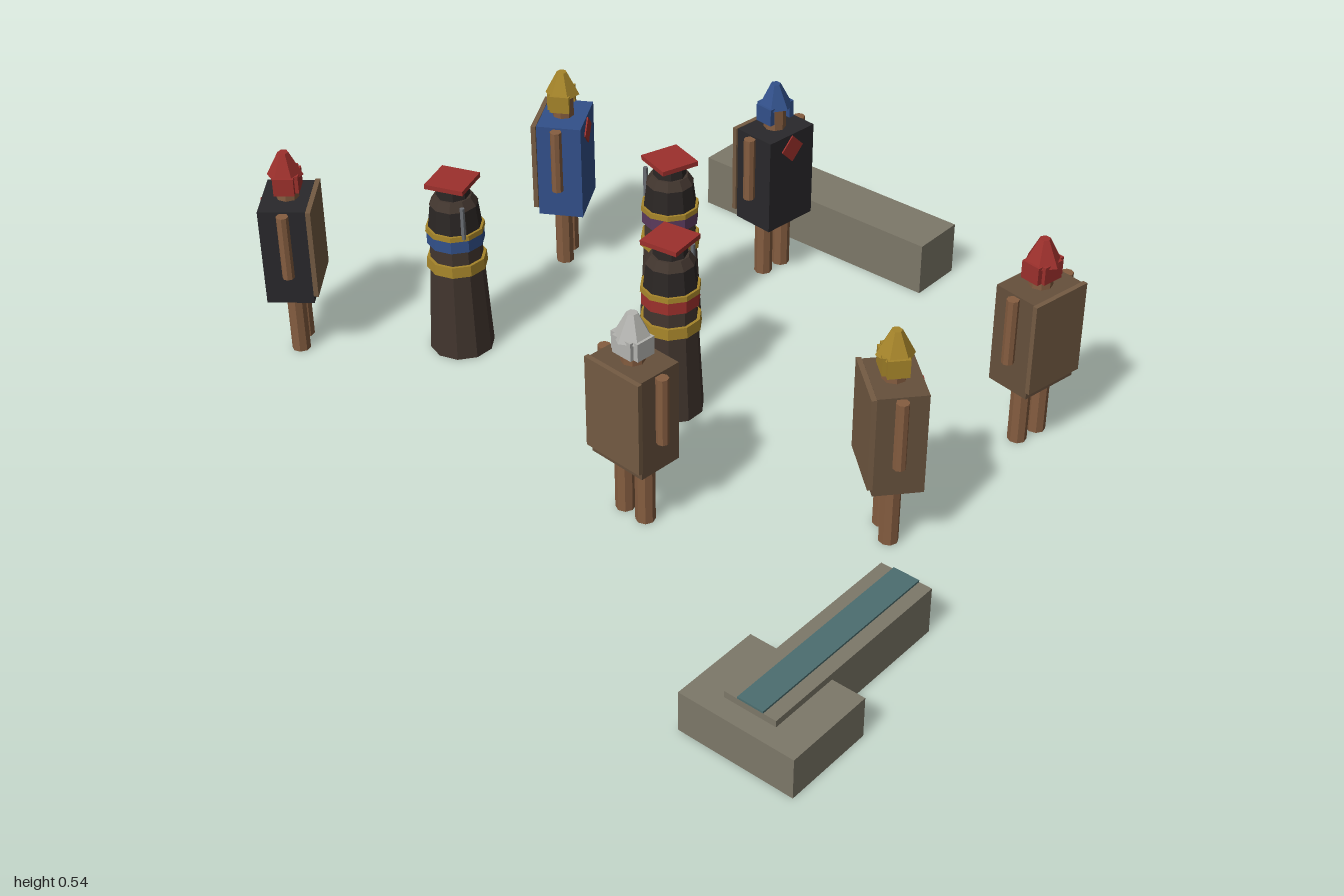
import * as THREE from 'three';

const COL = {
  stone: 0x7d7869, water: 0x4c6e70, board: 0x745b43, brown: 0x66503c, black: 0x29282b,
  blue: 0x32508a, red: 0x9c302c, gold: 0xa5842a, silver: 0xb4b4b0, skin: 0x855d40,
  robe: 0x41352e, dark: 0x2b2624, purple: 0x5a3a5c, white: 0xd0ccc4, steel: 0x6a6e74,
};
const mats = {};
const mat = (c) => (mats[c] ??= new THREE.MeshStandardMaterial({ color: COL[c], flatShading: true }));

function add(parent, name, geo, color, x, y, z) {
  const m = new THREE.Mesh(geo, mat(color));
  m.name = name;
  m.position.set(x, y, z);
  parent.add(m);
  return m;
}
const box = (w, h, d) => new THREE.BoxGeometry(w, h, d);
const cyl = (rt, rb, h, n) => new THREE.CylinderGeometry(rt, rb, h, n);

// Guard wearing a block tunic, facing local +z
function guard(tunic, cap, checker) {
  const g = new THREE.Group();
  g.name = 'guard';
  add(g, 'tunic', box(0.155, 0.255, 0.115), tunic, 0, 0.287, 0.004);
  add(g, 'backBoard', box(0.165, 0.235, 0.012), 'board', 0, 0.298, -0.06);
  for (const s of [-1, 1]) {
    add(g, 'leg', cyl(0.023, 0.023, 0.17, 8), 'skin', s * 0.032, 0.085, 0);
    add(g, 'arm', cyl(0.015, 0.015, 0.17, 8), 'skin', s * 0.089, 0.325, 0);
    add(g, 'cheekGuard', box(0.014, 0.045, 0.05), cap, s * 0.034, 0.46, 0);
  }
  add(g, 'head', cyl(0.028, 0.028, 0.08, 8), 'skin', 0, 0.445, 0);
  add(g, 'neckGuard', box(0.056, 0.045, 0.012), cap, 0, 0.46, -0.028);
  add(g, 'helmet', cyl(0.013, 0.044, 0.06, 6), cap, 0, 0.505, 0);
  // Chest emblem
  add(g, 'diamond', box(0.052, 0.052, 0.004), 'red', 0, 0.375, 0.063).rotation.z = Math.PI / 4;
  if (checker) {
    for (const i of [0, 1]) for (const j of [0, 1]) {
      add(g, 'checkerSquare', box(0.03, 0.03, 0.004), (i + j) % 2 ? 'white' : 'red',
        (i - 0.5) * 0.03, 0.24 + (j - 0.5) * 0.03, 0.063);
    }
  }
  return g;
}

// Robed figure with a square flat hat; the staff sits at local offset (sx, sz)
function robed(band, hatTurn, sx, sz) {
  const g = new THREE.Group();
  g.name = 'robedFigure';
  add(g, 'skirt', cyl(0.062, 0.08, 0.32, 10), 'robe', 0, 0.16, 0);
  add(g, 'lowerBand', cyl(0.073, 0.075, 0.028, 10), 'gold', 0, 0.247, 0);
  add(g, 'sash', cyl(0.07, 0.071, 0.032, 10), band, 0, 0.316, 0);
  add(g, 'upperBand', cyl(0.072, 0.073, 0.013, 10), 'gold', 0, 0.339, 0);
  add(g, 'torso', cyl(0.058, 0.066, 0.065, 10), 'dark', 0, 0.375, 0);
  add(g, 'shoulders', cyl(0.046, 0.06, 0.022, 10), 'robe', 0, 0.416, 0);
  add(g, 'head', cyl(0.038, 0.042, 0.035, 8), 'dark', 0, 0.44, 0);
  add(g, 'hatBoard', box(0.1, 0.012, 0.1), 'red', 0, 0.463, 0).rotation.y = hatTurn;
  add(g, 'staff', cyl(0.006, 0.006, 0.085, 6), 'steel', sx, 0.38, sz);
  return g;
}

export function createModel() {
  const model = new THREE.Group();
  model.name = 'courtyard';

  // Stonework
  add(model, 'wall', box(0.71, 0.14, 0.145), 'stone', -0.22, 0.07, -0.812);
  add(model, 'basinBase', box(0.29, 0.1, 0.225), 'stone', 0.852, 0.05, 0.763);
  add(model, 'channel', box(0.13, 0.116, 0.515), 'stone', 0.85, 0.058, 0.57);
  add(model, 'water', box(0.065, 0.006, 0.515), 'water', 0.85, 0.118, 0.57);

  // Guards: x, z, facing x, facing z, tunic, cap, checker
  const guards = [
    [-0.91, 0.43, -0.77, 0.64, 'black', 'red', true],
    [-0.69, -0.3, 0.85, -0.5, 'blue', 'gold', false],
    [-0.24, -0.6, 1, 0.1, 'black', 'blue', false],
    [0.68, -0.41, -1, -0.17, 'brown', 'red', true],
    [0.645, 0.1, 0.66, -0.75, 'brown', 'gold', false],
    [0.18, 0.41, 0.07, -1, 'brown', 'silver', false],
  ];
  for (const [x, z, fx, fz, tunic, cap, checker] of guards) {
    const g = guard(tunic, cap, checker);
    g.position.set(x, 0, z);
    g.rotation.y = Math.atan2(fx, fz);
    model.add(g);
  }

  // Robed figures: x, z, sash colour, hat turn, staff offset
  const figures = [
    [-0.6, 0.18, 'blue', 0.35, 0.06, 0.03],
    [-0.27, -0.23, 'purple', -0.3, -0.07, 0.01],
    [-0.03, 0.045, 'red', 0.12, 0.01, -0.068],
  ];
  for (const [x, z, band, turn, sx, sz] of figures) {
    const f = robed(band, turn, sx, sz);
    f.position.set(x, 0, z);
    model.add(f);
  }
  return model;
}
